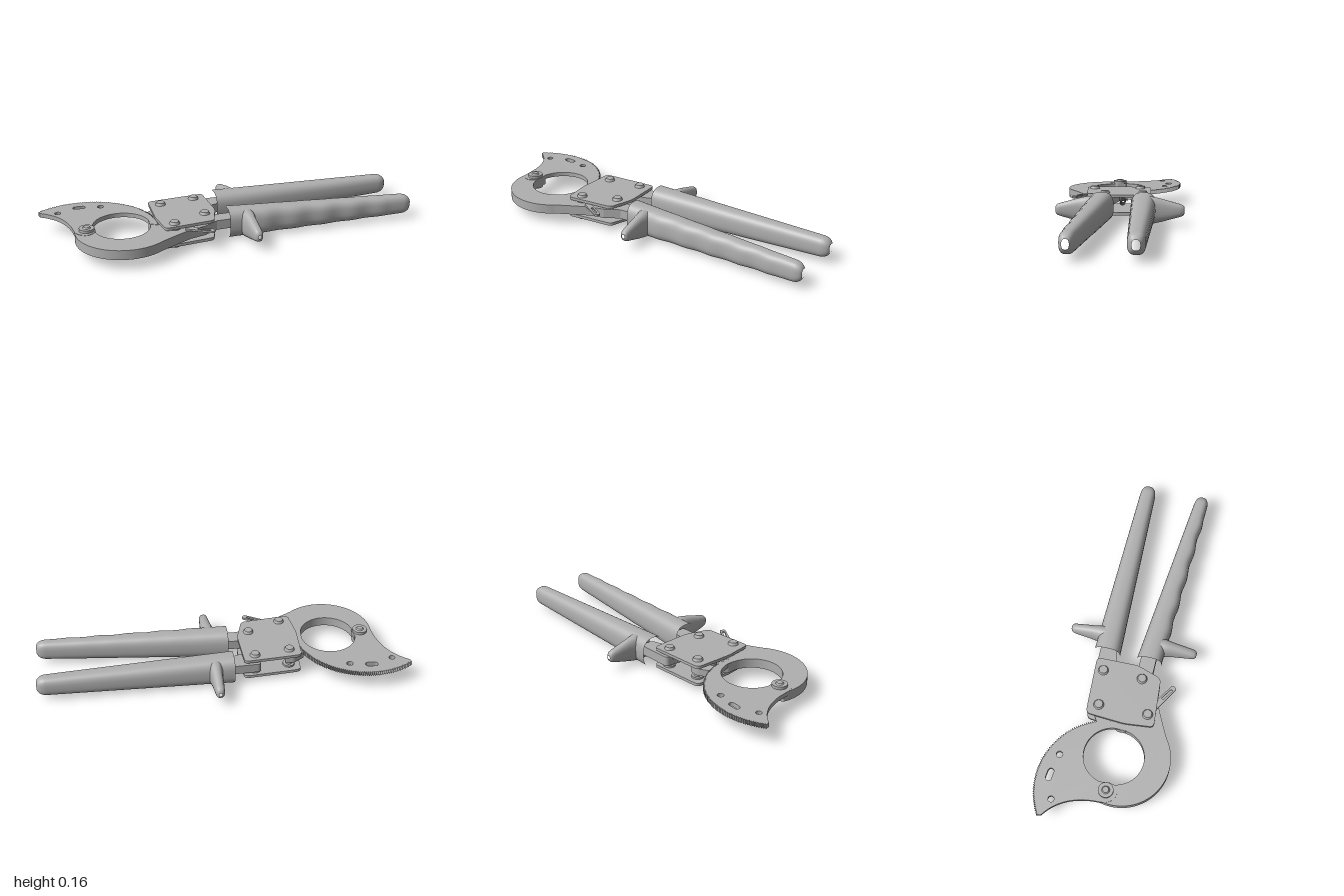
import * as THREE from 'three';

const steel = new THREE.MeshStandardMaterial({ color: 0xb0b0b0 });
steel.name = 'grey steel';

function add(group, name, geometry, x = 0, y = 0, z = 0) {
  const m = new THREE.Mesh(geometry, steel);
  m.name = name;
  m.position.set(x, y, z);
  group.add(m);
  return m;
}

// Plan outline in (x, -z), thickened from height y0 to y1
function slab(shape, y0, y1) {
  const g = new THREE.ExtrudeGeometry(shape, { depth: y1 - y0, bevelEnabled: false, curveSegments: 40 });
  return g.rotateX(-Math.PI / 2).translate(0, y0, 0);
}

// Polygon with rounded corners
function roundedPoly(pts, r) {
  const v = pts.map(p => new THREE.Vector2(...p));
  const s = new THREE.Shape();
  v.forEach((p, i) => {
    const a = v[(i + v.length - 1) % v.length], b = v[(i + 1) % v.length];
    const p0 = p.clone().add(a.clone().sub(p).setLength(r));
    const p1 = p.clone().add(b.clone().sub(p).setLength(r));
    if (i) s.lineTo(p0.x, p0.y); else s.moveTo(p0.x, p0.y);
    s.quadraticCurveTo(p.x, p.y, p1.x, p1.y);
  });
  s.closePath();
  return s;
}

// Slot or round hole
function slot(x, y, half, r, angle = 0) {
  const p = new THREE.Path(), dx = half * Math.cos(angle), dy = half * Math.sin(angle);
  p.absarc(x + dx, y + dy, r, angle - Math.PI / 2, angle + Math.PI / 2);
  p.absarc(x - dx, y - dy, r, angle + Math.PI / 2, angle + 1.5 * Math.PI);
  p.closePath();
  return p;
}

// Loft along x; each section is [x, centre y, half y, z min, z max]
function loft(sections, n = 32, power = 2.7) {
  const pos = [], idx = [], e = 2 / power;
  const round = c => Math.sign(c) * Math.abs(c) ** e;
  const ring = ([x, cy, hy, z0, z1]) => {
    for (let j = 0; j < n; j++) {
      const t = j / n * Math.PI * 2;
      pos.push(x, cy + hy * round(Math.sin(t)), (z0 + z1) / 2 + (z1 - z0) / 2 * round(Math.cos(t)));
    }
  };
  sections.forEach(ring);
  for (let i = 0; i < sections.length - 1; i++) for (let j = 0; j < n; j++) {
    const a = i * n + j, b = i * n + (j + 1) % n;
    idx.push(a, a + n, b, b, a + n, b + n);
  }
  for (const end of [0, 1]) {
    const s = sections[end ? sections.length - 1 : 0], base = pos.length / 3;
    ring(s);
    pos.push(s[0], s[1], (s[3] + s[4]) / 2);
    for (let j = 0; j < n; j++) {
      const a = base + j, b = base + (j + 1) % n;
      idx.push(base + n, end ? a : b, end ? b : a);
    }
  }
  const g = new THREE.BufferGeometry();
  g.setAttribute('position', new THREE.Float32BufferAttribute(pos, 3));
  g.setIndex(idx);
  g.computeVertexNormals();
  return g;
}

// Grip with a rounded tip; in/out give the z of its edges at both ends
function grip(in0, in1, out0, out1, wave) {
  const xs = [];
  for (let i = 0; i <= 50; i++) xs.push(-0.055 + i * 0.02);
  for (let i = 1; i <= 8; i++) xs.push(0.945 + 0.05 * Math.sin(i / 8 * Math.PI / 2));
  return loft(xs.map(x => {
    const t = (x + 0.055) / 1.05;
    const k = x > 0.945 ? Math.sqrt(Math.max(0.03, 1 - ((x - 0.945) / 0.05) ** 2)) : 1;
    const finger = x > 0.1 && x < 0.86 ? wave * Math.sin((x - 0.1) / 0.76 * Math.PI * 9) : 0;
    const a = in0 + (in1 - in0) * t, b = out0 + (out1 - out0) * t + finger;
    const c = (a + b) / 2, h = (b - a) / 2 * (0.35 + 0.65 * k);
    return [x, 0.083, (0.082 - 0.029 * t) * (0.35 + 0.65 * k), c - h, c + h];
  }));
}

export function createModel() {
  const model = new THREE.Group();
  model.name = 'ratchetCutter';

  // Toothed moving blade, an arc around the pivot
  const blade = new THREE.Shape();
  const teeth = 76, from = 2.14, to = -0.14;
  blade.moveTo(-1, 0.245);
  for (let i = 0; i <= teeth * 2; i++) {
    const a = from + (to - from) * i / (teeth * 2), r = i % 2 ? 0.369 : 0.379;
    blade.lineTo(-0.8 + r * Math.cos(a), -0.05 + r * Math.sin(a));
  }
  blade.absarc(-0.615, -0.037, 0.15, -0.25, 2.95, false);
  blade.lineTo(-0.755, -0.06);
  blade.quadraticCurveTo(-0.77, -0.11, -0.81, -0.11);
  blade.quadraticCurveTo(-0.862, -0.1, -0.866, -0.03);
  blade.bezierCurveTo(-0.868, 0.07, -0.9, 0.18, -1, 0.245);
  blade.holes.push(slot(-0.908, 0.215, 0, 0.016), slot(-0.785, 0.255, 0.018, 0.016, -0.1), slot(-0.67, 0.232, 0, 0.017));
  add(model, 'movingBlade', slab(blade, 0.09, 0.114));

  // Hooked fixed jaw with its arm running to the front grip
  const jaw = new THREE.Shape();
  jaw.absarc(-0.61, -0.09, 0.257, 2.87, 5.32, false);
  jaw.quadraticCurveTo(-0.44, -0.285, -0.28, -0.208);
  jaw.lineTo(-0.2, -0.19);
  jaw.lineTo(-0.12, -0.145);
  jaw.lineTo(0, -0.145);
  jaw.lineTo(0, -0.062);
  jaw.lineTo(-0.25, -0.06);
  jaw.lineTo(-0.4, -0.03);
  jaw.lineTo(-0.435, 0.02);
  jaw.lineTo(-0.467, -0.03);
  jaw.absarc(-0.615, -0.06, 0.148, 0.1, Math.PI, true);
  jaw.lineTo(-0.76, -0.01);
  jaw.quadraticCurveTo(-0.81, 0.01, -0.857, -0.02);
  add(model, 'fixedJaw', slab(jaw, 0.06, 0.112));

  // Pivot screw
  add(model, 'pivotScrew', new THREE.CylinderGeometry(0.04, 0.04, 0.078, 32), -0.8, 0.09, 0.05);
  add(model, 'pivotCap', new THREE.CylinderGeometry(0.016, 0.022, 0.008, 24), -0.8, 0.132, 0.05);

  // Pair of cover plates
  const plate = roundedPoly([[-0.425, 0.15], [-0.36, 0.155], [-0.11, 0.167], [-0.105, -0.06],
    [-0.15, -0.195], [-0.42, -0.217], [-0.437, -0.06]], 0.025);
  for (const y of [0.026, 0.126]) add(model, 'coverPlate', slab(plate, y, y + 0.016));

  // Bolts through the plates
  for (const [x, z] of [[-0.366, -0.095], [-0.174, -0.117], [-0.174, 0.097], [-0.36, 0.17]]) {
    add(model, 'boltShank', new THREE.CylinderGeometry(0.018, 0.018, 0.13, 24), x, 0.084, z);
    for (const s of [1, -1]) {
      add(model, 'boltHead', new THREE.CylinderGeometry(s > 0 ? 0.022 : 0.028, s > 0 ? 0.028 : 0.022, 0.014, 24), x, 0.084 + s * 0.065, z);
      add(model, 'boltWasher', new THREE.CylinderGeometry(0.032, 0.032, 0.01, 24), x, 0.084 + s * 0.037, z);
    }
  }

  // Rear lever arm, driving pawl and holding pawl
  const arm = roundedPoly([[0, 0.09], [0, 0.165], [-0.2, 0.163], [-0.215, 0.06], [-0.14, 0.05]], 0.02);
  add(model, 'leverArm', slab(arm, 0.06, 0.112));
  const pawl = roundedPoly([[-0.145, 0.1], [-0.18, 0.14], [-0.3, 0.07], [-0.425, 0.04], [-0.415, 0], [-0.28, 0.01]], 0.012);
  add(model, 'drivingPawl', slab(pawl, 0.095, 0.12));
  const catchPawl = roundedPoly([[-0.34, 0.12], [-0.39, 0.125], [-0.455, 0.085], [-0.44, 0.02], [-0.36, 0.06]], 0.012);
  add(model, 'holdingPawl', slab(catchPawl, 0.07, 0.108));

  // Slotted release latch
  const latch = roundedPoly([[-0.3, -0.178], [-0.165, -0.263], [-0.18, -0.29], [-0.315, -0.21]], 0.012);
  latch.holes.push(slot(-0.222, -0.246, 0.03, 0.006, -0.59));
  add(model, 'releaseLatch', slab(latch, 0.112, 0.122));

  // Return spring
  const coil = [];
  for (let i = 0; i <= 96; i++) {
    const t = i / 96, a = t * Math.PI * 16;
    coil.push(new THREE.Vector3(-0.3 + 0.1 * t, 0.084 + 0.014 * Math.sin(a), 0.014 * Math.cos(a)));
  }
  add(model, 'returnSpring', new THREE.TubeGeometry(new THREE.CatmullRomCurve3(coil), 192, 0.003, 6));

  // Grips
  add(model, 'frontGrip', grip(0.04, 0.15, 0.177, 0.225, 0.004));
  add(model, 'rearGrip', grip(-0.197, -0.172, -0.055, -0.088, 0));

  // Hand guards tapering outward from each grip
  const guardSections = [[0.1, 0.075, 0.042], [0.17, 0.075, 0.041], [0.195, 0.07, 0.036], [0.23, 0.062, 0.031],
    [0.28, 0.048, 0.028], [0.32, 0.037, 0.025], [0.34, 0.03, 0.022], [0.349, 0.022, 0.016], [0.352, 0.01, 0.008]];
  for (const s of [1, -1]) {
    const g = loft(guardSections.map(([d, hy, hx]) => [d, 0.083, hy, -hx, hx]), 28, 2.5);
    add(model, s > 0 ? 'frontGuard' : 'rearGuard', g.rotateY(-s * Math.PI / 2), 0.047, 0, 0);
  }
  return model;
}
